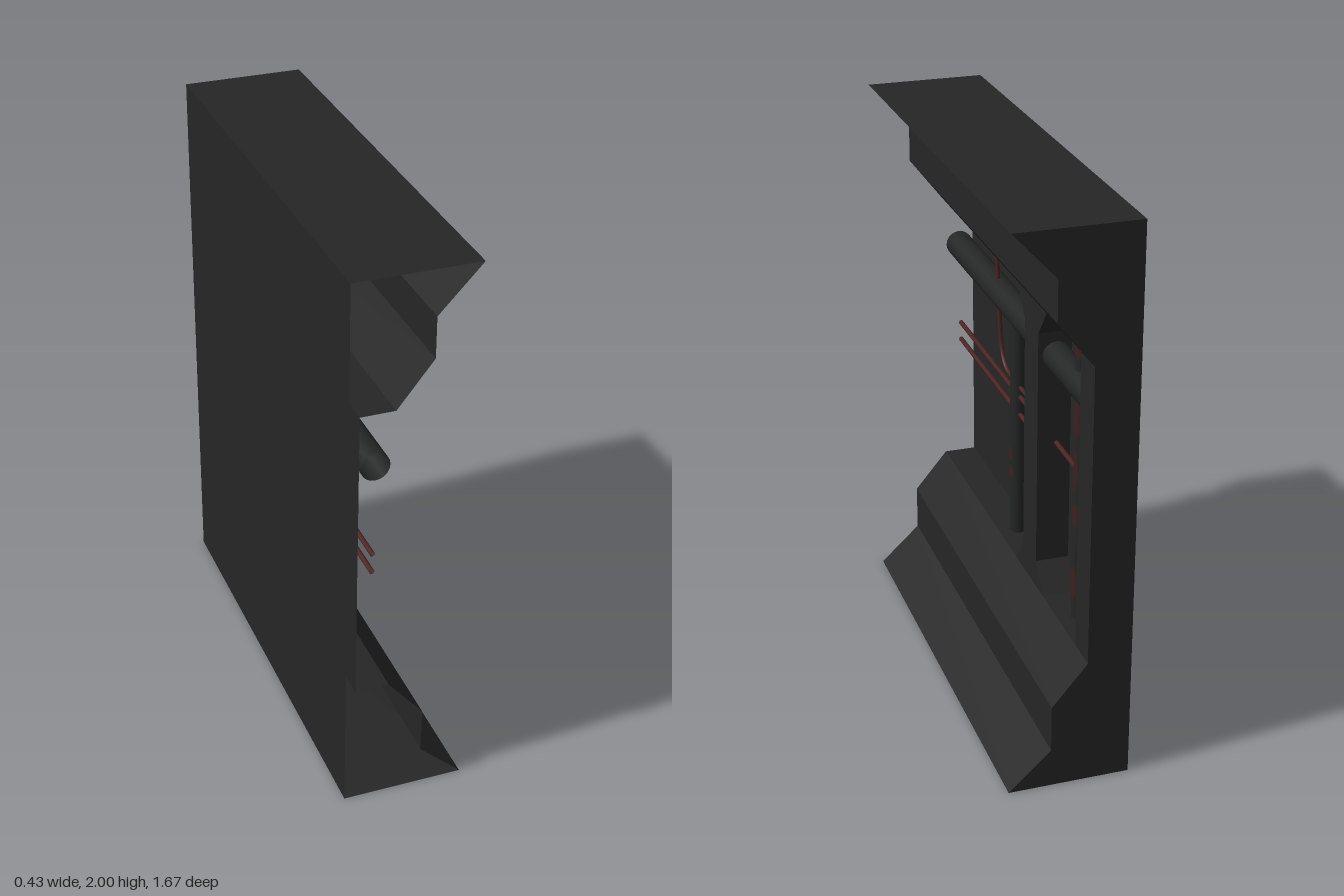
import * as THREE from 'three';

const mat = (name, color) => new THREE.MeshStandardMaterial({ name, color, side: THREE.DoubleSide });

export function createModel() {
  const group = new THREE.Group();
  const wallMat = mat('dark wall metal', 0x262626);
  const pipeMat = mat('dark pipe metal', 0x242525);
  const wireMat = mat('red cable', 0x4c2323);
  const rustMat = mat('rust', 0x3e2020);

  const add = (name, geo, material, x = 0, y = 0, z = 0) => {
    const mesh = new THREE.Mesh(geo, material);
    mesh.name = name;
    mesh.position.set(x, y, z);
    group.add(mesh);
    return mesh;
  };

  const backX = -0.215, panelX = -0.18, faceX = -0.06, farZ = -0.835;
  const low = 0.46, high = 1.535;

  // Wall shell: stepped cornice, recess and skirting swept along z, open at the near end
  const cornice = [[backX, 2], [0.215, 2], [0.065, 1.84], [0.065, 1.695], [faceX, high]];
  const skirting = [[faceX, low], [0.065, 0.31], [0.065, 0.14], [0.215, 0], [backX, 0]];
  const profile = [...cornice, [panelX, high], [panelX, low], ...skirting];
  const nearZ = y => 0.818 + 0.0085 * y; // near edge leans slightly
  const pos = [];
  profile.forEach((a, i) => {
    const b = profile[(i + 1) % profile.length];
    const a0 = [...a, farZ], a1 = [...a, nearZ(a[1])];
    const b0 = [...b, farZ], b1 = [...b, nearZ(b[1])];
    pos.push(...a0, ...a1, ...b0, ...b0, ...a1, ...b1);
  });
  const shell = new THREE.BufferGeometry();
  shell.setAttribute('position', new THREE.Float32BufferAttribute(pos, 3));
  shell.computeVertexNormals();
  add('wallShell', shell, wallMat);

  // Closed far end
  const outline = new THREE.Shape([...cornice, ...skirting].map(p => new THREE.Vector2(...p)));
  const cap = new THREE.ShapeGeometry(outline);
  cap.rotateY(Math.PI);
  cap.scale(-1, 1, 1);
  const order = cap.index.array;
  for (let i = 0; i < order.length; i += 3) [order[i], order[i + 1]] = [order[i + 1], order[i]];
  add('farEndCap', cap, wallMat, 0, 0, farZ);
  add('farEndPost', new THREE.BoxGeometry(faceX - panelX, high - low, 0.124), wallMat,
    (faceX + panelX) / 2, (high + low) / 2, -0.772);

  // Support pillar, flared at top and bottom
  const half = [[0.15, low], [0.07, 0.56], [0.07, 1.43], [0.15, high]];
  const mirrored = half.map(([u, y]) => [-u, y]).reverse();
  const pillarShape = new THREE.Shape([...half, ...mirrored].map(p => new THREE.Vector2(...p)));
  const pillar = new THREE.ExtrudeGeometry(pillarShape, { depth: faceX - backX - 0.001, bevelEnabled: false });
  pillar.rotateY(Math.PI / 2);
  add('pillar', pillar, wallMat, backX + 0.001, 0, -0.23);

  // Pipes
  const mainPipe = new THREE.CylinderGeometry(0.05, 0.05, 1.53, 20, 1, true);
  mainPipe.rotateX(Math.PI / 2);
  add('mainPipe', mainPipe, pipeMat, -0.125, 1.345, 0.065);
  const uprightPipe = (name, r, y0, y1, z) =>
    add(name, new THREE.CylinderGeometry(r, r, y1 - y0, 16), pipeMat, -0.132, (y0 + y1) / 2, z);
  uprightPipe('branchPipe', 0.031, 0.43, 1.3, 0.118);
  uprightPipe('uprightPipeA', 0.025, 0.43, 1.56, -0.54);
  uprightPipe('uprightPipeB', 0.025, 0.43, 1.56, -0.624);

  // Rust patches: thin rounded skins wrapped on the upright pipes
  const rust = (r, z, y, height, turn, spread) => {
    const geo = new THREE.CylinderGeometry(r + 0.001, r + 0.001, height, 8, 8, true,
      Math.PI / 2 + turn - spread, spread * 2);
    const p = geo.attributes.position, centre = Math.PI / 2 + turn;
    for (let i = 0; i < p.count; i++) {
      const v = 2 * p.getY(i) / height;
      const angle = centre + (Math.atan2(p.getX(i), p.getZ(i)) - centre) * Math.sqrt(Math.max(0.01, 1 - v * v));
      p.setX(i, (r + 0.001) * Math.sin(angle));
      p.setZ(i, (r + 0.001) * Math.cos(angle));
    }
    geo.computeVertexNormals();
    add('rustPatch', geo, rustMat, -0.132, y, z);
  };
  rust(0.031, 0.118, 0.78, 0.06, 0.1, 0.4);
  rust(0.031, 0.118, 0.71, 0.05, 0.2, 0.5);
  for (const [y, h, turn] of [[1.48, 0.1, 0.3], [1.22, 0.14, 0.4], [1.03, 0.16, 0.1], [0.86, 0.09, 0.5], [0.6, 0.13, 0.2]])
    rust(0.025, -0.54, y, h, turn, 0.7);
  for (const [y, h, turn] of [[1.43, 0.1, 0], [1.24, 0.1, -0.4], [1.07, 0.12, 0.4], [0.73, 0.18, 0], [0.58, 0.12, 0.1]])
    rust(0.025, -0.624, y, h, turn, 0.75);

  // Cables
  const cable = (name, curve, r, steps) => add(name, new THREE.TubeGeometry(curve, steps, r, 8), wireMat);
  const v = (x, y, z) => new THREE.Vector3(x, y, z);
  cable('upperCable', new THREE.LineCurve3(v(-0.13, 1.015, 0.828), v(-0.13, 1.015, -0.54)), 0.009, 1);
  cable('lowerCable', new THREE.LineCurve3(v(-0.13, 0.945, 0.827), v(-0.13, 0.945, -0.2)), 0.009, 1);
  const bend = new THREE.CurvePath();
  bend.add(new THREE.LineCurve3(v(-0.112, high, 0.316), v(-0.125, 1.2, 0.312)));
  bend.add(new THREE.CubicBezierCurve3(v(-0.125, 1.2, 0.312), v(-0.128, 1.1, 0.31), v(-0.13, 1.055, 0.28), v(-0.13, 1.055, 0.2)));
  bend.add(new THREE.LineCurve3(v(-0.13, 1.055, 0.2), v(-0.13, 1.048, -0.18)));
  cable('bentCable', bend, 0.008, 40);

  return group;
}
